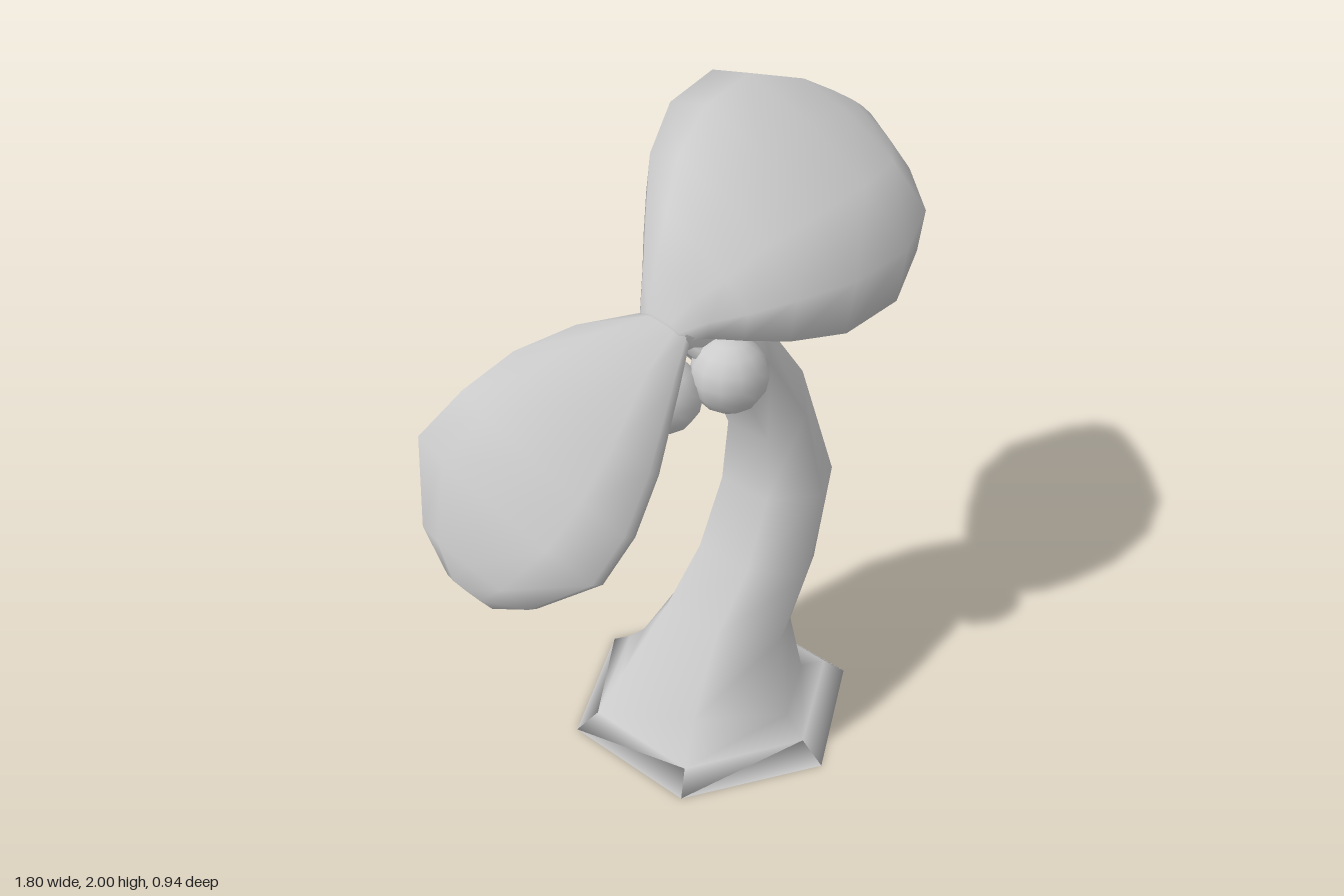
import * as THREE from 'three';

const material = new THREE.MeshStandardMaterial({ color: 0xcccccc, side: THREE.DoubleSide });

// Skin a list of closed rings (arrays of Vector3) and cap both ends.
function loft(name, rings) {
  const n = rings[0].length, pts = rings.flat(), index = [];
  for (let r = 0; r < rings.length - 1; r++) {
    for (let k = 0; k < n; k++) {
      const a = r * n + k, b = r * n + (k + 1) % n;
      index.push(a, b, a + n, b, b + n, a + n);
    }
  }
  const last = (rings.length - 1) * n;
  for (let k = 1; k < n - 1; k++) {
    index.push(0, k + 1, k, last, last + k, last + k + 1);
  }
  // Turn the faces outward if the rings ran the other way round.
  let volume = 0;
  for (let i = 0; i < index.length; i += 3) {
    const [a, b, c] = [pts[index[i]], pts[index[i + 1]], pts[index[i + 2]]];
    volume += a.dot(b.clone().cross(c));
  }
  if (volume < 0) index.reverse();
  const geometry = new THREE.BufferGeometry().setFromPoints(pts);
  geometry.setIndex(index);
  geometry.computeVertexNormals();
  const mesh = new THREE.Mesh(geometry, material);
  mesh.name = name;
  return mesh;
}

// Six-sided trunk ring: left point, right point, half depth, depth centre.
function trunkRing([lx, ly, rx, ry, depth, cz]) {
  return Array.from({ length: 6 }, (_, k) => {
    const a = Math.PI / 6 + k * Math.PI / 3;
    const t = 0.5 + 0.5 * Math.cos(a) / Math.cos(Math.PI / 6);
    return new THREE.Vector3(lx + (rx - lx) * t, ly + (ry - ly) * t, cz + depth * Math.sin(a));
  });
}

// Blunt-rimmed leaf section: position across (0 back edge, 1 front edge), share of thickness.
const leafProfile = [[0, 0.42], [0.18, 0.9], [0.47, 1], [0.77, 0.86], [1, 0.5],
  [1, -0.5], [0.82, -1], [0.5, -0.97], [0.2, -0.8], [0, -0.5]];

// Each section: back edge xyz, front edge xyz, thickness above, thickness below.
function leaf(name, normal, sections) {
  const up = new THREE.Vector3(...normal).normalize();
  return loft(name, sections.map(([bx, by, bz, fx, fy, fz, above, below]) => {
    const back = new THREE.Vector3(bx, by, bz), front = new THREE.Vector3(fx, fy, fz);
    return leafProfile.map(([s, t]) =>
      back.clone().lerp(front, s).addScaledVector(up, t * (t > 0 ? above : below)));
  }));
}

export function createModel() {
  const group = new THREE.Group();

  // Curved trunk flaring into a hexagonal foot, its top running up into the leaves
  group.add(loft('trunk', [
    [-0.41, 0, 0.41, 0, 0.47, 0],
    [-0.35, 0.06, 0.35, 0.06, 0.39, 0],
    [-0.27, 0.19, 0.27, 0.07, 0.32, 0],
    [-0.1, 0.4, 0.27, 0.25, 0.22, -0.005],
    [0.06, 0.56, 0.4, 0.43, 0.205, -0.01],
    [0.17, 0.77, 0.5, 0.73, 0.19, -0.02],
    [0.19, 0.98, 0.35, 1.16, 0.165, -0.025],
    [0.07, 1.22, 0.16, 1.42, 0.15, -0.025],
    [-0.08, 1.38, 0.01, 1.56, 0.12, -0.01],
    [-0.2, 1.46, -0.17, 1.56, 0.08, -0.01],
  ].map(trunkRing)));

  // Large raised leaf
  group.add(leaf('largeLeaf', [0, 1, 0.15], [
    [-0.21, 1.53, -0.09, -0.2, 1.51, 0.05, 0.03, 0.03],
    [-0.15, 1.67, -0.13, -0.13, 1.52, 0.1, 0.06, 0.05],
    [-0.08, 1.74, -0.19, -0.05, 1.52, 0.17, 0.1, 0.08],
    [0.06, 1.81, -0.31, 0.06, 1.52, 0.25, 0.16, 0.12],
    [0.26, 1.86, -0.42, 0.26, 1.5, 0.3, 0.2, 0.16],
    [0.48, 1.89, -0.45, 0.5, 1.51, 0.3, 0.2, 0.16],
    [0.69, 1.84, -0.38, 0.7, 1.56, 0.22, 0.16, 0.13],
    [0.82, 1.8, -0.31, 0.82, 1.64, 0.07, 0.1, 0.08],
    [0.9, 1.79, -0.24, 0.9, 1.75, -0.12, 0.03, 0.03],
  ]));

  // Smaller drooping leaf
  group.add(leaf('droopingLeaf', [-0.5, 0.37, 0.2], [
    [-0.18, 1.53, -0.09, -0.17, 1.5, 0.06, 0.04, 0.04],
    [-0.35, 1.52, -0.19, -0.29, 1.4, 0.12, 0.07, 0.06],
    [-0.52, 1.48, -0.26, -0.44, 1.23, 0.18, 0.09, 0.08],
    [-0.67, 1.4, -0.31, -0.57, 1.1, 0.21, 0.1, 0.08],
    [-0.8, 1.29, -0.36, -0.7, 1.01, 0.21, 0.09, 0.08],
    [-0.87, 1.05, -0.3, -0.81, 0.91, 0.06, 0.06, 0.06],
    [-0.87, 0.92, -0.22, -0.84, 0.86, -0.07, 0.03, 0.03],
  ]));

  // Pair of round fruits hanging on short stems under the crown
  const crown = new THREE.Vector3(-0.17, 1.49, 0);
  [[-0.07, 1.365, 0.125], [-0.215, 1.31, 0]].forEach((p, i) => {
    const centre = new THREE.Vector3(...p);
    const fruit = new THREE.Mesh(new THREE.SphereGeometry(0.117, 12, 8), material);
    fruit.position.copy(centre);
    fruit.name = 'fruit' + (i + 1);
    const stem = new THREE.Mesh(
      new THREE.TubeGeometry(new THREE.LineCurve3(crown, centre), 1, 0.025, 6), material);
    stem.name = 'fruitStem' + (i + 1);
    group.add(fruit, stem);
  });

  return group;
}
